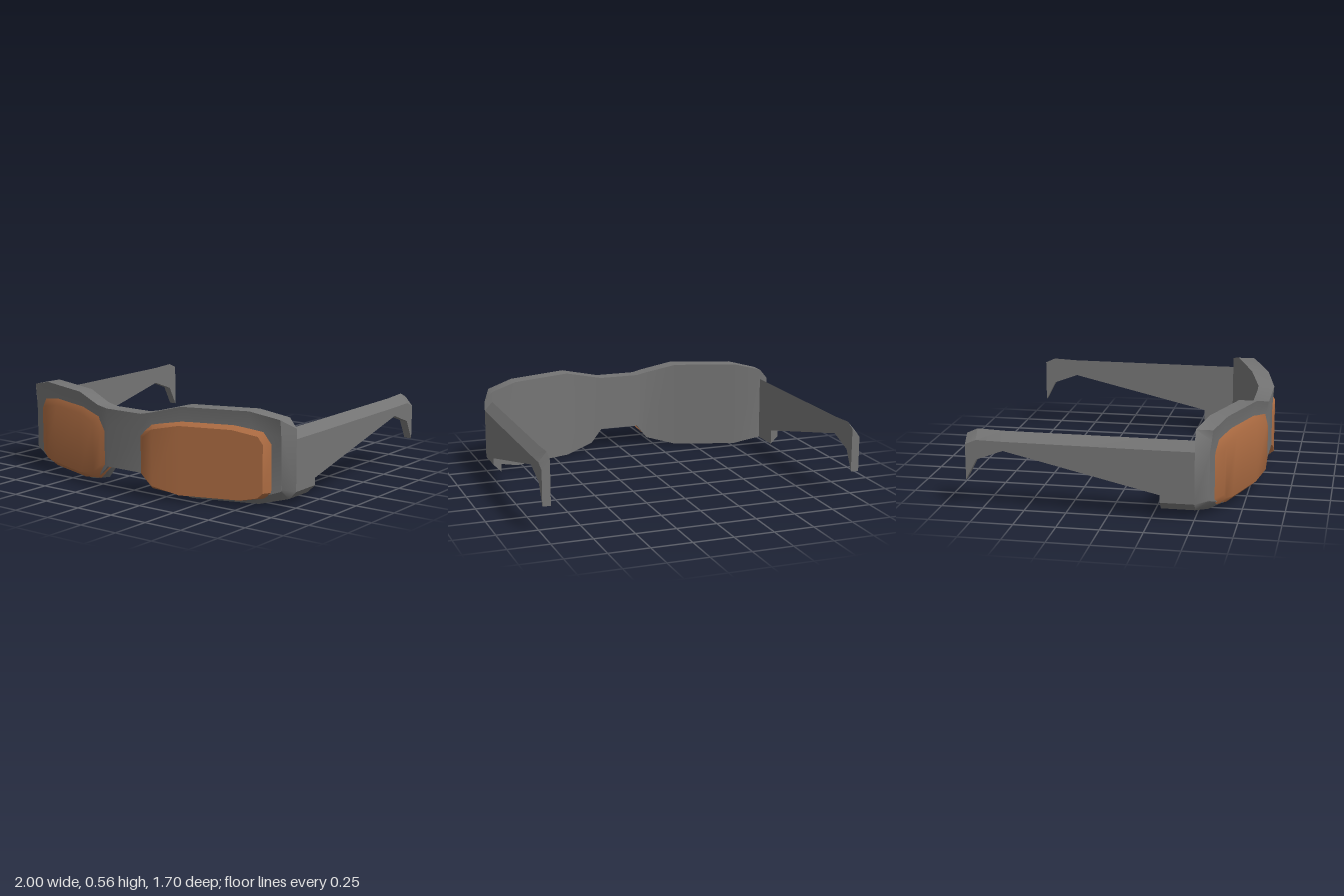
import * as THREE from 'three';
import { toCreasedNormals } from 'three/addons/utils/BufferGeometryUtils.js';

const grey = new THREE.MeshStandardMaterial({ color: 0x747474 });
const amber = new THREE.MeshStandardMaterial({ color: 0xaa6a41 });

// Joins equal-sized rings of [x, y, z] points and caps both ends.
// Ring points run clockwise seen from the last ring; point i sits opposite n-1-i.
function loft(rings, crease) {
  const n = rings[0].length, pos = [];
  const quad = (a, b, c, d) => pos.push(...a, ...b, ...c, ...a, ...c, ...d);
  for (let i = 0; i < rings.length - 1; i++) {
    for (let k = 0; k < n; k++) {
      const m = (k + 1) % n;
      quad(rings[i][k], rings[i + 1][k], rings[i + 1][m], rings[i][m]);
    }
  }
  const first = rings[0], last = rings[rings.length - 1];
  for (let k = 0; k < n / 2 - 1; k++) {
    quad(first[k], first[k + 1], first[n - 2 - k], first[n - 1 - k]);
    quad(last[n - 1 - k], last[n - 2 - k], last[k + 1], last[k]);
  }
  const g = new THREE.BufferGeometry();
  g.setAttribute('position', new THREE.Float32BufferAttribute(pos, 3));
  return toCreasedNormals(g, crease);
}

// Mirrored rings in reverse order keep the faces pointing outwards.
const mirror = rings => rings.map(r => r.map(([x, y, z]) => [-x, y, z])).reverse();

// Front surface of the swept-back frame
const frameZ = x => 0.84 - Math.max(0, x - 0.2) * 0.327;

function createFrame() {
  // x, top, brow underside, front bottom, back bottom, brow overhang
  const stations = [
    [0.13, 0.505, 0.4, 0.15, 0.145, 0],
    [0.2, 0.52, 0.44, 0.085, 0.055, 0.004],
    [0.39, 0.57, 0.47, 0.05, 0.005, 0.012],
    [0.78, 0.57, 0.47, 0.05, 0.005, 0.01],
    [0.95, 0.53, 0.42, 0.11, 0.05, 0.002],
  ];
  const half = stations.map(([x, top, brow, front, back, over]) => {
    const f = frameZ(x), b = f - 0.097, inset = x < 0.15 ? 0 : 0.013;
    return [[x, brow, f - inset], [x, top, f + over], [x, top, b], [x, back, b], [x, front, f - inset]];
  });
  // chamfered outer corner
  half.push([[0.955, 0.4, 0.58], [0.953, 0.47, 0.59], [1, 0.47, 0.5], [1, 0.1, 0.5], [0.955, 0.12, 0.58]]);
  return loft([...mirror(half), ...half], 0.8);
}

// Temple arm: z, top and bottom of the inner face, top and bottom of the outer face
const armRings = [
  [0.5, 0.465, 0.05, 0.41, 0.1],
  [0.3, 0.465, 0.05, 0.41, 0.1],
  [0.3, 0.465, 0.145, 0.41, 0.145],
  [-0.62, 0.468, 0.36, 0.415, 0.36],
  [-0.78, 0.475, 0.3, 0.418, 0.3],
  [-0.845, 0.445, 0.175, 0.39, 0.175],
].map(([z, it, ib, ot, ob]) => [[1, ot, z], [0.95, it, z], [0.95, ib, z], [1, ob, z]]);

// Lens: wide rim sunk into the frame, smaller outline for the raised face
const lensRim = [
  [0.09, 0.38], [0.2, 0.455], [0.38, 0.485], [0.68, 0.485], [0.85, 0.455], [0.9, 0.38],
  [0.9, 0.1], [0.85, 0.06], [0.72, 0.035], [0.38, 0.035], [0.2, 0.065], [0.09, 0.17],
].map(([x, y]) => [x, y, frameZ(x) - 0.02]);
const lensFace = [
  [0.15, 0.37], [0.22, 0.425], [0.38, 0.458], [0.69, 0.458], [0.84, 0.43], [0.87, 0.385],
  [0.87, 0.1], [0.84, 0.07], [0.74, 0.048], [0.38, 0.045], [0.22, 0.085], [0.15, 0.14],
];
const leftLens = [lensRim, lensFace.map(([x, y]) => [x, y, 0.85 - Math.max(0, x - 0.22) * 0.307])];
// the right lens has a wider, softer bevel
const rightLens = [lensRim, lensFace.map(([x, y]) => {
  const u = 0.51 + (x - 0.51) * 0.9;
  return [u, 0.25 + (y - 0.25) * 0.9, 0.842 - Math.max(0, u - 0.24) * 0.322];
})];

export function createModel() {
  const model = new THREE.Group();
  model.name = 'goggles';
  const add = (name, geometry, material) => {
    const mesh = new THREE.Mesh(geometry, material);
    mesh.name = name;
    model.add(mesh);
  };
  add('frontFrame', createFrame(), grey);
  add('leftArm', loft(armRings, 0.3), grey);
  add('rightArm', loft(mirror(armRings), 0.3), grey);
  add('leftLens', loft(leftLens, 0.5), amber);
  add('rightLens', loft(mirror(rightLens), 0.8), amber);
  return model;
}
